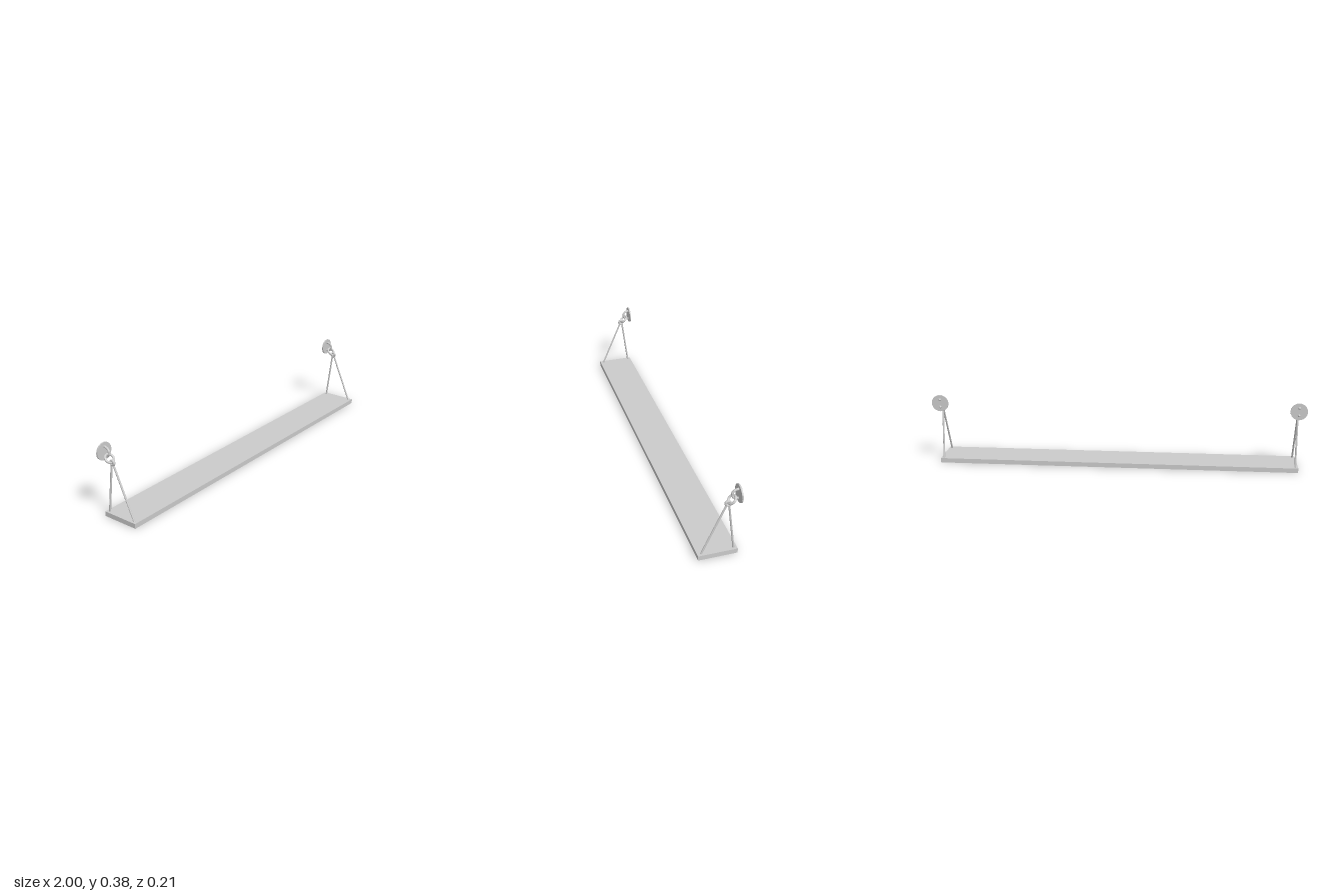
import * as THREE from 'three';

const mat = new THREE.MeshStandardMaterial({ color: 0xcccccc, flatShading: true });

function add(parent, name, geometry, x = 0, y = 0, z = 0) {
  const mesh = new THREE.Mesh(geometry, mat);
  mesh.name = name;
  mesh.position.set(x, y, z);
  parent.add(mesh);
  return mesh;
}

// Cylinder running between two points
function rod(parent, name, a, b, radius) {
  const dir = b.clone().sub(a);
  const mesh = add(parent, name, new THREE.CylinderGeometry(radius, radius, dir.length(), 8));
  mesh.position.copy(a).add(b).multiplyScalar(0.5);
  mesh.quaternion.setFromUnitVectors(new THREE.Vector3(0, 1, 0), dir.normalize());
}

function createHanger() {
  const hanger = new THREE.Group();
  const top = new THREE.Vector3(0, 0.294, -0.035);

  // Two slanted rods meeting at the eye ring
  rod(hanger, 'frontRod', new THREE.Vector3(0, 0.018, 0.089), new THREE.Vector3(0, 0.288, -0.031), 0.005);
  rod(hanger, 'backRod', new THREE.Vector3(0, 0.018, -0.075), new THREE.Vector3(0, 0.288, -0.041), 0.005);
  add(hanger, 'eyeRing', new THREE.TorusGeometry(0.011, 0.0063, 8, 16), 0, top.y, top.z).rotation.y = Math.PI / 2;

  // Tilted link joining the eye ring to the wall hook
  add(hanger, 'link', new THREE.TorusGeometry(0.023, 0.006, 8, 16), 0, 0.311, -0.053).rotation.x = -Math.PI / 4;

  // U-shaped hook: half ring with straight ends into the plate
  const cy = 0.339, cz = -0.0765, r = 0.0245;
  const arc = add(hanger, 'hookBend', new THREE.TorusGeometry(r, 0.006, 8, 5, Math.PI), 0, cy, cz);
  arc.rotation.set(0, -Math.PI / 2, 0);
  arc.rotateZ(-Math.PI / 2);
  for (const s of [-1, 1]) {
    rod(hanger, 'hookEnd', new THREE.Vector3(0, cy + s * r, cz), new THREE.Vector3(0, cy + s * r, -0.09), 0.006);
    // Pointed screw tips behind the plate
    add(hanger, 'screwTip', new THREE.ConeGeometry(0.008, 0.014, 8), 0, cy + s * 0.0205, -0.0975).rotation.x = -Math.PI / 2;
  }

  // Round wall plate
  add(hanger, 'wallPlate', new THREE.CylinderGeometry(0.045, 0.045, 0.007, 20), 0, cy, -0.0875).rotation.x = Math.PI / 2;
  return hanger;
}

export function createModel() {
  const model = new THREE.Group();
  model.name = 'hangingShelf';
  add(model, 'board', new THREE.BoxGeometry(1.94, 0.025, 0.196), 0, 0.0125, 0.007);
  for (const s of [-1, 1]) {
    const hanger = createHanger();
    hanger.name = s > 0 ? 'leftHanger' : 'rightHanger';
    hanger.position.x = s * 0.955;
    model.add(hanger);
  }
  return model;
}
